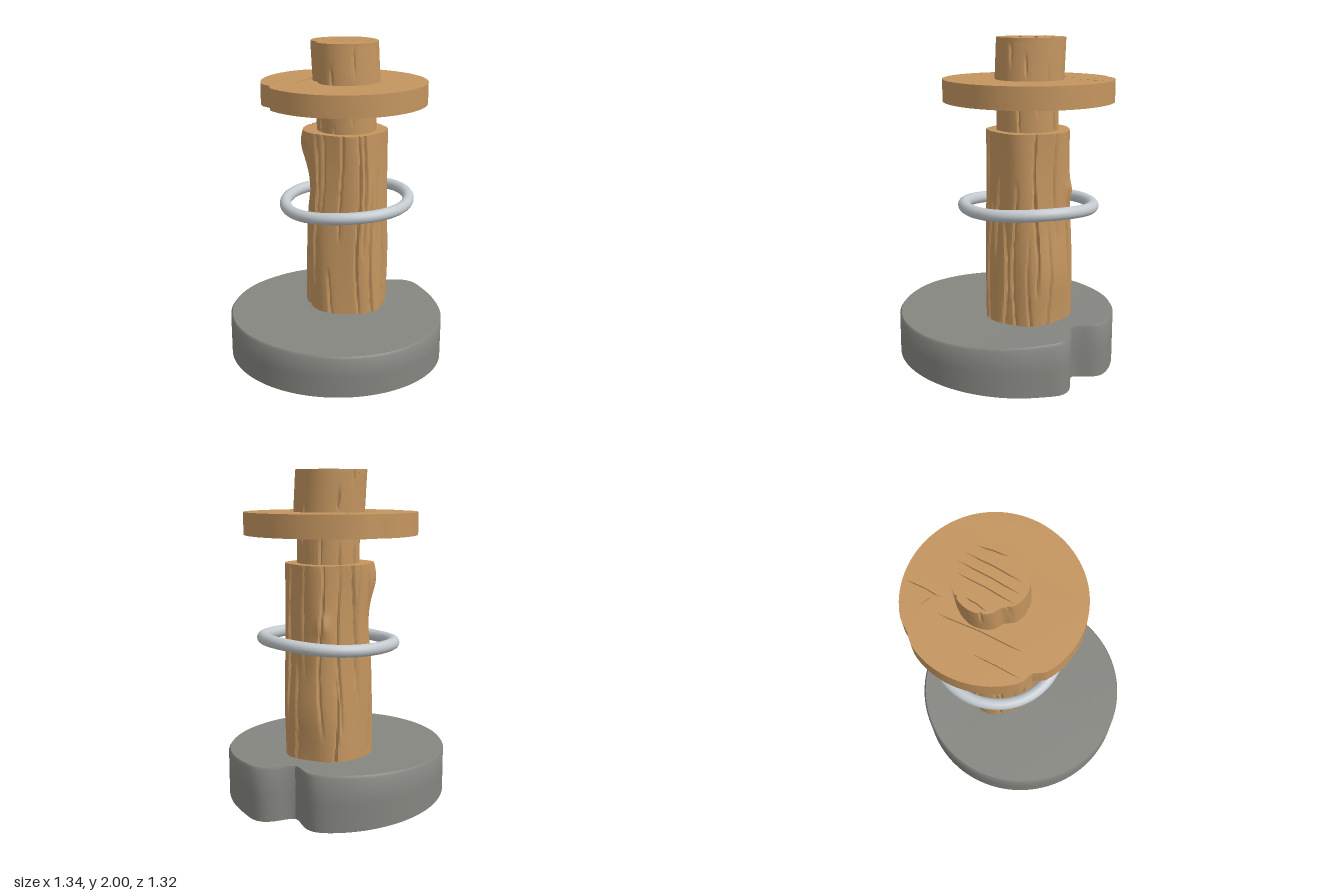
import * as THREE from 'three';
import { toCreasedNormals } from 'three/addons/utils/BufferGeometryUtils.js';

const TAU = Math.PI * 2;
const wrap = (d) => Math.atan2(Math.sin(d), Math.cos(d));
const bell = (d, w) => Math.exp(-((d / w) ** 2));

// Closed solid from rings listed bottom to top; point(angle, ring) gives [x, y, z].
// Angle 0 is the front (+z), growing towards +x.
function loft(rings, segs, point, crease = 0.7) {
  const pos = [], idx = [];
  for (const ring of rings)
    for (let j = 0; j < segs; j++) pos.push(...point((j / segs) * TAU, ring));
  const n = rings.length;
  const centre = (row) => {
    const c = [0, 0, 0];
    for (let j = 0; j < segs; j++)
      for (let k = 0; k < 3; k++) c[k] += pos[(row * segs + j) * 3 + k] / segs;
    return c;
  };
  const low = centre(0), high = centre(n - 1);
  pos.push(...low, ...high);
  for (let j = 0; j < segs; j++) {
    const k = (j + 1) % segs;
    for (let i = 0; i < n - 1; i++) {
      const a = i * segs + j, b = i * segs + k;
      idx.push(a, b, a + segs, b, b + segs, a + segs);
    }
    idx.push(n * segs, k, j, n * segs + 1, (n - 1) * segs + j, (n - 1) * segs + k);
  }
  const g = new THREE.BufferGeometry();
  g.setAttribute('position', new THREE.Float32BufferAttribute(pos, 3));
  g.setIndex(idx);
  g.computeVertexNormals();
  return toCreasedNormals(g, crease);
}

const steps = (a, b, n) => Array.from({ length: n + 1 }, (_, i) => a + ((b - a) * i) / n);

// Flat layer from a polar outline, cut by slits [x0, z0, x1, z1, width]
function slab(outline, slits, y0, y1) {
  const pts = steps(0, TAU, 96).slice(0, -1).map((a) => {
    const [x, z] = outline(a);
    return new THREE.Vector2(x, -z);
  });
  const shape = new THREE.Shape(pts);
  for (const [x0, z0, x1, z1, w] of slits) {
    const mx = (x0 + x1) / 2, mz = (z0 + z1) / 2;
    shape.holes.push(new THREE.Path([
      new THREE.Vector2(x0, -z0), new THREE.Vector2(mx + w / 2, -mz),
      new THREE.Vector2(x1, -z1), new THREE.Vector2(mx - w / 2, -mz),
    ]));
  }
  const g = new THREE.ExtrudeGeometry(shape, { depth: y1 - y0, bevelEnabled: false });
  g.rotateX(-Math.PI / 2).translate(0, y0, 0);
  return toCreasedNormals(g, 0.6);
}

// Seeded set of vertical cracks in weathered wood
function makeCracks(count, y0, y1, depth, seed) {
  let s = seed;
  const rnd = () => (s = (s * 16807) % 2147483647) / 2147483647;
  const list = steps(0, TAU, count).slice(0, -1).map((a) => {
    const mid = y0 + rnd() * (y1 - y0), half = (0.2 + 0.4 * rnd()) * (y1 - y0);
    return { a: a + rnd() * 0.25, mid, half, depth: depth * (0.5 + 0.7 * rnd()), phase: rnd() * 6 };
  });
  return (a, y) => {
    let cut = 0;
    for (const c of list) {
      const fade = Math.max(0, 1 - ((y - c.mid) / c.half) ** 2);
      const d = Math.abs(wrap(a - c.a - 0.05 * Math.sin(y * 6 + c.phase)));
      cut = Math.max(cut, c.depth * Math.sqrt(fade) * Math.max(0, 1 - d / 0.05));
    }
    return cut;
  };
}

export function createModel() {
  const wood = new THREE.MeshStandardMaterial({ color: 0xc4955f });
  const stone = new THREE.MeshStandardMaterial({ color: 0x858680 });
  const metal = new THREE.MeshStandardMaterial({ color: 0xc3c9ce });
  wood.name = 'wood';
  stone.name = 'grey stone';
  metal.name = 'pale metal';

  const model = new THREE.Group();
  model.name = 'ringPost';
  const add = (name, geometry, material, parent = model) => {
    const mesh = new THREE.Mesh(geometry, material);
    mesh.name = name;
    parent.add(mesh);
    return mesh;
  };

  // Stone base: uneven disc with a rounded notch at the back
  const baseRings = [
    ...[0.2, 0.45, 0.7, 0.9, 1].map((s) => ({ s, h: 0 })),
    { s: 1, h: 0.5 }, { s: 1, h: 0.95 }, { s: 0.985, h: 1 },
    ...[0.9, 0.75, 0.55, 0.3, 0.1].map((s) => ({ s, h: 1 })),
  ];
  add('base', loft(baseRings, 128, (a, { s, h }) => {
    const back = wrap(a - Math.PI);
    const r = s * (0.67 - 0.13 * bell(back + 0.1, 0.16) * s * s + 0.012 * bell(back + 0.42, 0.12));
    const x = r * Math.sin(a), z = r * Math.cos(a) - 0.005;
    const bottom = 0.042 + 0.05 * z - 0.025 * z * z;
    const top = 0.325 - 0.03 * Math.max(0, x) + 0.03 * Math.max(0, -z - 0.25) + 0.008 * z;
    return [x, bottom + (top - bottom) * h, z];
  }), stone);

  // Main post: cracked trunk with a knot at the front left and another at the back
  const postCracks = makeCracks(24, 0.33, 1.47, 0.022, 77);
  add('post', loft(steps(0.28, 1.465, 44), 200, (a, y) => {
    const left = bell(wrap(a + 1.1), 0.5);
    let r = 0.258 + 0.008 * Math.cos(5 * a + 2 * y) - 0.012 * bell(y - 1.3, 0.45)
      + 0.022 * bell(wrap(a - 2.9), 0.6) * bell(y - 0.62, 0.2);
    r += left * (0.045 * bell(y - 1.38, 0.13) - 0.015 * bell(y - 1.1, 0.12));
    r -= 0.035 * bell(wrap(a + 0.8), 0.12) * bell(y - 1.34, 0.05);
    r += 0.02 * bell(wrap(a + 2.9), 0.15) * bell(y - 1.12, 0.06);
    r -= postCracks(a, y);
    return [-0.012 + r * Math.sin(a), y, -0.167 + r * Math.cos(a)];
  }), wood);

  // Neck between post and collar
  const neckCracks = makeCracks(10, 1.45, 1.65, 0.015, 31);
  add('neck', loft(steps(1.44, 1.65, 6), 160, (a, y) => {
    const r = 0.184 - neckCracks(a, y);
    return [-0.008 + r * Math.sin(a), y, -0.157 + r * Math.cos(a)];
  }), wood);

  // Collar disc: layered so that the scratches are cut into both faces
  const collar = new THREE.Group();
  collar.name = 'collar';
  model.add(collar);
  const collarOutline = (a) => {
    const r = 0.508 - 0.03 * bell(wrap(a + 0.66), 0.09) - 0.014 * bell(wrap(a + 2.25), 0.1)
      + 0.004 * Math.cos(3 * a);
    return [-0.025 + r * Math.sin(a), -0.15 + r * Math.cos(a)];
  };
  const topSlits = [
    [-0.365, -0.1, -0.37, 0.19, 0.01], [-0.25, -0.38, -0.235, 0.13, 0.02],
    [-0.155, -0.62, -0.16, -0.4, 0.014], [-0.25, -0.48, -0.18, -0.44, 0.03],
  ];
  const underSlits = [[-0.3, -0.4, -0.24, 0.15, 0.014], [0.2, -0.42, 0.25, 0.02, 0.014]];
  add('collarUnderside', slab(collarOutline, underSlits, 1.63, 1.645), wood, collar);
  add('collarCore', slab(collarOutline, [], 1.645, 1.742), wood, collar);
  add('collarTop', slab(collarOutline, topSlits, 1.742, 1.76), wood, collar);

  // Top peg with a chipped side and saw grooves across its end
  const pegCracks = makeCracks(9, 1.76, 2.0, 0.016, 12);
  const pegPoint = (a, y) => {
    const r = 0.207 + 0.004 * Math.cos(4 * a) - 0.02 * bell(wrap(a + 0.75), 0.22)
      - pegCracks(a, y);
    const lean = -0.06 * (y - 1.88);
    return [-0.022 + lean + r * Math.sin(a), y, -0.164 + r * Math.cos(a)];
  };
  add('peg', loft(steps(1.74, 1.982, 8), 160, pegPoint), wood);
  const grooves = [
    [-0.105, 0.025, -0.085, -0.34, 0.014], [-0.045, 0.02, -0.025, -0.35, 0.014],
    [0.02, 0.0, 0.035, -0.34, 0.014], [0.115, -0.13, 0.095, -0.31, 0.014],
    [-0.205, -0.09, -0.185, -0.22, 0.014],
  ];
  add('pegEnd', slab((a) => {
    const [x, , z] = pegPoint(a, 1.99);
    return [x, z];
  }, grooves, 1.982, 2.0), wood);

  // Loose ring around the post, slightly tilted and warped
  const ringPoints = steps(0, TAU, 24).slice(0, -1).map((a) => {
    const x = 0.388 * Math.sin(a), z = 0.388 * Math.cos(a);
    return new THREE.Vector3(x - 0.01, 1.007 + 0.035 * x - 0.04 * z + 0.005 * Math.sin(3 * a), z - 0.165);
  });
  const ringPath = new THREE.CatmullRomCurve3(ringPoints, true);
  add('ring', new THREE.TubeGeometry(ringPath, 96, 0.036, 16, true), metal);

  return model;
}
